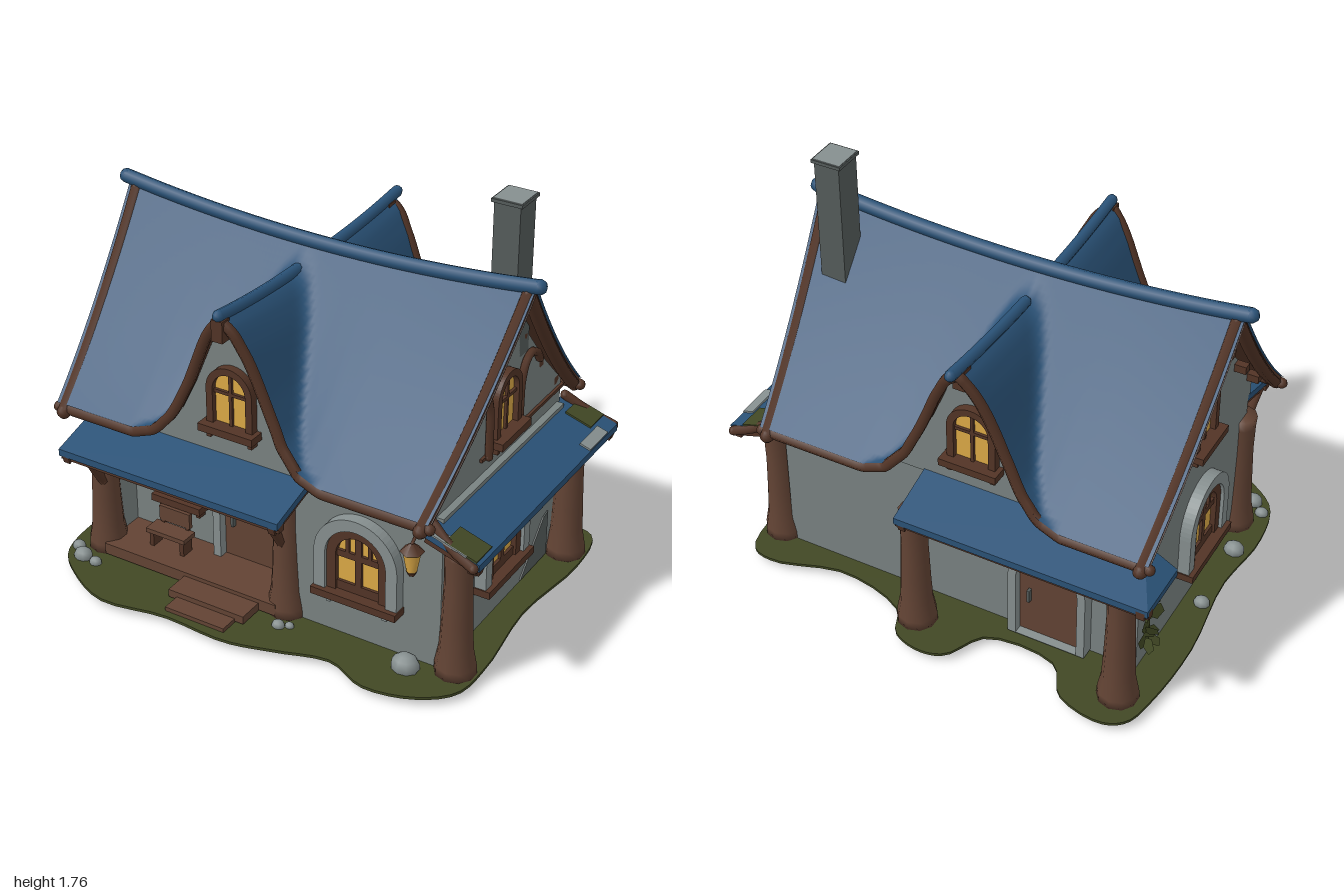
import * as THREE from 'three';

const mat = (name, color, side = THREE.FrontSide) => {
  const m = new THREE.MeshStandardMaterial({ color, side });
  m.name = name;
  return m;
};
const M = {
  roof: mat('blue roof', 0x2a5277, THREE.DoubleSide),
  wall: mat('grey plaster', 0x798281),
  stone: mat('pale stone', 0x868f8f),
  dark: mat('dark stone', 0x555c5b),
  timber: mat('dark timber', 0x523426, THREE.DoubleSide),
  wood: mat('warm wood', 0x624334),
  glass: mat('lit glass', 0xdca946),
  moss: mat('moss', 0x414824, THREE.DoubleSide),
};

const V = (x, y, z) => new THREE.Vector3(x, y, z);
const add = (parent, name, geo, material, x = 0, y = 0, z = 0) => {
  const m = new THREE.Mesh(geo, material);
  m.name = name;
  m.position.set(x, y, z);
  parent.add(m);
  return m;
};
const box = (p, name, w, h, d, material, x, y, z) => add(p, name, new THREE.BoxGeometry(w, h, d), material, x, y, z);
const tube = (p, name, pts, r, material, seg = 24, sides = 6) => {
  const g = new THREE.TubeGeometry(new THREE.CatmullRomCurve3(pts), seg, r, sides);
  const m = add(p, name, g, material);
  for (const e of [pts[0], pts[pts.length - 1]]) // rounded ends
    add(p, name + 'End', new THREE.SphereGeometry(r, 8, 6), material, e.x, e.y, e.z);
  return m;
};
const poly = (pts) => new THREE.Shape(pts.map(([x, y]) => new THREE.Vector2(x, y)));
const extrude = (shape, depth) => new THREE.ExtrudeGeometry(shape, { depth, bevelEnabled: false, curveSegments: 14 });
// Plan outline in x, z raised upwards
const plan = (pts, h) => extrude(poly(pts.map(([x, z]) => [x, -z])), h).rotateX(-Math.PI / 2);

// Roof height: sagging main ridge along x, bell-shaped cross gable along z
const CX = -0.1;
const BELL = [[0, 1], [0.05, 0.92], [0.1, 0.77], [0.18, 0.45], [0.25, 0.21], [0.33, 0.06], [0.43, 0]];
const bell = (x) => {
  const d = Math.abs(x - CX);
  for (let i = 1; i < BELL.length; i++) {
    const [a, p] = BELL[i - 1], [b, q] = BELL[i];
    if (d < b) return p + (q - p) * (d - a) / (b - a);
  }
  return 0;
};
const ridgeY = (x) => 1.43 + 0.065 * (x / 0.95) ** 2;
const crossY = (t) => 1.335 + 0.035 * t * t;
const roofPoint = (s, v) => {
  const t = Math.abs(v), k = 1 - t;
  const x = THREE.MathUtils.lerp(-0.9 - 0.05 * k, 0.8 + 0.09 * k, s);
  const main = 0.76 + (ridgeY(x) - 0.76) * (1 - 1.2 * t + 0.2 * t * t);
  const f = bell(x), cross = 0.76 + (crossY(t) - 0.76) * f;
  const soft = 0.1 * k + 1e-4, blend = Math.max(soft - Math.abs(main - cross), 0) / soft; // soft valley
  const z = v * (v > 0 ? 0.62 : 0.66) * (1 - 0.2 * f * (1 - f) * t);
  return V(x, Math.max(main, cross) + blend * blend * soft / 4, z);
};
function roofSheet(drop) {
  const nx = 100, nz = 64, pos = [], idx = [];
  for (let i = 0; i <= nx; i++) for (let j = 0; j <= nz; j++) {
    const p = roofPoint(i / nx, j / nz * 2 - 1);
    pos.push(p.x, p.y - drop, p.z);
    if (i < nx && j < nz) {
      const a = i * (nz + 1) + j, c = a + nz + 1;
      idx.push(a, a + 1, c, c, a + 1, c + 1);
    }
  }
  const g = new THREE.BufferGeometry();
  g.setAttribute('position', new THREE.Float32BufferAttribute(pos, 3));
  g.setIndex(idx);
  g.computeVertexNormals();
  return g;
}

const arch = (w, h, y0 = 0, Type = THREE.Shape) => {
  const r = w / 2, s = new Type();
  s.moveTo(-r, y0);
  s.lineTo(r, y0);
  s.lineTo(r, h - r);
  s.absarc(0, h - r, r, 0, Math.PI, false);
  s.lineTo(-r, y0);
  return s;
};
const archRing = (w, h, t, depth) => {
  const s = arch(w, h);
  s.holes.push(arch(w - 2 * t, h - t, 0.002, THREE.Path));
  return extrude(s, depth);
};
const place = (parent, name, x, y, z, turn = 0) => {
  const g = new THREE.Group();
  g.name = name;
  g.position.set(x, y, z);
  g.rotation.y = turn;
  parent.add(g);
  return g;
};
// Arched window, its foot at the origin, facing +z
function windowUnit(parent, name, x, y, z, turn, w, h, large) {
  const g = place(parent, name, x, y, z, turn);
  if (large) add(g, 'stoneSurround', archRing(w + 0.09, h + 0.045, 0.05, 0.06), M.stone, 0, 0, -0.01);
  const t = large ? 0.045 : 0.03, bar = large ? 0.028 : 0.014;
  add(g, 'frame', archRing(w, h, t, 0.035), M.timber);
  add(g, 'panes', extrude(arch(w - t, h - t / 2), 0.008), M.glass, 0, 0, 0.004);
  box(g, 'mullion', bar, h - t, 0.02, M.timber, 0, (h - t) / 2, 0.014);
  box(g, 'crossbar', w - t, bar, 0.02, M.timber, 0, h * 0.57, 0.014);
  if (large) {
    box(g, 'bottomRail', w - t, 0.055, 0.02, M.timber, 0, 0.0275, 0.014);
    for (const s of [-1, 1]) box(g, 'upperBar', 0.016, 0.1, 0.02, M.timber, s * 0.05, h * 0.57 + 0.05, 0.014);
  }
  box(g, 'sill', w + (large ? 0.1 : 0.04), 0.032, 0.08, M.timber, 0, 0, 0.03);
  for (const s of [-1, 1]) box(g, 'sillBlock', 0.02, 0.04, 0.04, large ? M.stone : M.timber, s * w * 0.45, -0.03, 0.02);
}
function doorUnit(parent, name, x, y, z, turn) {
  const g = place(parent, name, x, y, z, turn);
  add(g, 'surround', archRing(0.34, 0.47, 0.035, 0.07), M.stone, 0, 0, -0.01);
  add(g, 'doorLeaf', extrude(arch(0.27, 0.435), 0.02), M.wood);
  box(g, 'handle', 0.012, 0.06, 0.02, M.dark, -0.09, 0.2, 0.03);
}
// Lean-to roof running along local x, sloping down towards local +z; hipEnd (-1 or 1) is cut back by hip at the top
function leanTo(parent, name, x, z, turn, len, depth, top, hipEnd = 0, hip = 0) {
  const g = place(parent, name, x, 0, z, turn);
  const slab = extrude(poly([[0, top - 0.03], [depth, 0.61], [depth, 0.64], [0, top]]), len).rotateY(-Math.PI / 2).translate(len / 2, 0, 0);
  const p = slab.attributes.position;
  for (let i = 0; i < p.count; i++)
    if (p.getX(i) * hipEnd > 0 && p.getZ(i) < 0.01) p.setX(i, p.getX(i) - hipEnd * hip);
  slab.computeVertexNormals();
  add(g, 'slope', slab, M.roof);
  box(g, 'eaveBeam', len, 0.035, 0.035, M.timber, 0, 0.608, depth - 0.03);
  for (const s of [-1, 1].filter((e) => e !== hipEnd)) {
    const r = box(g, 'endRafter', 0.03, 0.035, depth, M.timber, s * (len / 2 - 0.03), (top + 0.6) / 2 - 0.025, depth / 2);
    r.rotation.x = Math.atan2(top - 0.64, depth);
  }
  return g;
}

export function createModel() {
  const house = new THREE.Group();
  house.name = 'cottage';

  // Ground and floor
  const edge = [[-0.95, -0.3], [-0.93, -0.62], [-0.89, -0.77], [-0.8, -0.82], [-0.6, -0.77], [-0.5, -0.63], [-0.2, -0.63],
    [-0.1, -0.79], [0, -0.82], [0.13, -0.78], [0.2, -0.66], [0.5, -0.58], [0.8, -0.66], [0.91, -0.63], [0.95, -0.4], [0.91, 0], [0.95, 0.4],
    [0.93, 0.6], [0.8, 0.71], [0.6, 0.75], [0.42, 0.68], [0.2, 0.74], [0, 0.79], [-0.3, 0.78], [-0.58, 0.82], [-0.78, 0.73], [-0.9, 0.62],
    [-0.94, 0.4], [-0.91, 0.1]].map(([x, z]) => V(x, 0, z));
  const rim = new THREE.CatmullRomCurve3(edge, true).getPoints(110).slice(0, -1);
  add(house, 'ground', plan(rim.map((p) => [p.x, p.z]), 0.012), M.moss, 0, 0.03);
  box(house, 'floor', 1.64, 0.008, 1.1, M.wall, 0, 0.028, 0.04);
  box(house, 'backDoorstep', 0.28, 0.045, 0.03, M.stone, -0.43, 0.0225, -0.53);

  // Walls with a recessed front porch
  add(house, 'lowerWalls', plan([[-0.8, -0.5], [0.8, -0.5], [0.8, 0.5], [0.12, 0.5], [0.12, 0.33], [-0.75, 0.33], [-0.75, 0.48], [-0.8, 0.48]], 0.57), M.wall, 0, 0.04);
  box(house, 'upperWalls', 1.6, 0.12, 1, M.wall, 0, 0.66, 0);
  const gable = poly([[-0.52, 0.71], [0.52, 0.71], [0.52, 0.82], [0.36, 0.98], [0.18, 1.19], [0, 1.43], [-0.18, 1.19], [-0.36, 0.98], [-0.52, 0.82]]);
  add(house, 'endGables', extrude(gable, 1.57).rotateY(Math.PI / 2), M.wall, -0.8);
  const half = BELL.map(([d, f]) => [d, 0.73 + 0.6 * f]);
  const bellPts = [...half.slice().reverse().map(([d, y]) => [CX + d, y]), ...half.slice(1).map(([d, y]) => [CX - d, y])];
  add(house, 'crossGables', extrude(poly([...bellPts, [CX - 0.43, 0.7], [CX + 0.43, 0.7]]), 1.04), M.wall, 0, 0, -0.52);
  add(house, 'wallPatch', extrude(poly([[0.17, 0.05], [0.4, 0.05], [0.4, 0.26], [0.36, 0.25]]), 0.006).rotateY(Math.PI / 2), M.dark, 0.8);

  // Main roof, underside, ridges and bargeboards
  add(house, 'roof', roofSheet(0), M.roof);
  add(house, 'roofUnderside', roofSheet(0.025), M.timber);
  const steps = (n, f) => Array.from({ length: n + 1 }, (_, i) => f(i / n));
  tube(house, 'mainRidge', steps(10, (s) => { const x = -0.97 + 1.87 * s; return V(x, ridgeY(x), 0); }), 0.03, M.roof, 40, 8);
  tube(house, 'frontRidge', steps(5, (s) => V(CX, crossY(s), 0.08 + 0.54 * s)), 0.024, M.roof, 20, 8);
  tube(house, 'backRidge', steps(5, (s) => V(CX, crossY(s), -0.12 - 0.57 * s)), 0.024, M.roof, 20, 8);
  for (const v of [-1, 1]) {
    tube(house, 'eaveBoard', steps(60, (s) => roofPoint(s, v).add(V(0, -0.024, -0.012 * v))), 0.023, M.timber, 150);
    for (const s of [0, 1])
      tube(house, 'bargeboard', steps(12, (k) => roofPoint(s, v * k).add(V(s ? -0.032 : 0.032, -0.034, 0))), 0.03, M.timber, 30);
    box(house, 'gablePeg', 0.05, 0.09, 0.05, M.timber, CX, 1.31, v * 0.61);
    for (const [z, y] of [[0.17, 1.16], [0.33, 0.98], [0.48, 0.83]])
      box(house, 'purlin', 1.62, 0.035, 0.035, M.timber, -0.04, y, v * z);
  }
  box(house, 'gableBeam', 0.02, 0.014, 0.7, M.timber, 0.772, 0.79, -0.18);

  // Lean-to roofs
  leanTo(house, 'frontPorchRoof', -0.285, 0.5, 0, 1.03, 0.25, 0.71);
  leanTo(house, 'backPorchRoof', -0.41, -0.5, Math.PI, 1.08, 0.26, 0.715, 1, 0.14);
  leanTo(house, 'backPorchHip', -0.81, -0.63, -Math.PI / 2, 0.26, 0.14, 0.715, -1, 0.259);
  const side = leanTo(house, 'sideRoof', 0.76, 0, Math.PI / 2, 1.18, 0.24, 0.715);
  for (const [x, w, z, d, m] of [[-0.53, 0.12, 0.16, 0.14, M.moss], [0.53, 0.12, 0.12, 0.12, M.moss], [0.42, 0.16, 0.215, 0.05, M.stone], [-0.57, 0.05, 0.11, 0.16, M.stone]])
    box(side, 'roofPatch', w, 0.008, d, m, x, 0.719 - 0.3125 * z, z).rotation.x = 0.303;
  for (const s of [-1, 1])
    tube(house, 'hipBeam', [V(0.78, 0.73, s * 0.55), V(0.88, 0.665, s * 0.58), V(0.98, 0.625, s * 0.6)], 0.02, M.timber, 8);

  // Posts and curved brackets
  const post = [[0, 0.04], [0.085, 0.04], [0.083, 0.08], [0.068, 0.16], [0.062, 0.28], [0.056, 0.45], [0.058, 0.57], [0.062, 0.62], [0, 0.62]];
  for (const [x, z] of [[-0.79, 0.48], [0.1, 0.48], [0.86, 0.48], [0.86, -0.47], [0.1, -0.66], [-0.8, -0.66]])
    add(house, 'post', new THREE.LatheGeometry(post.map(([r, y]) => new THREE.Vector2(r, y)), 10), M.wood, x, 0, z);
  for (const x of [-0.77, 0.1])
    tube(house, 'porchBracket', [V(x, 0.38, 0.52), V(x, 0.46, 0.57), V(x, 0.54, 0.62), V(x, 0.6, 0.71)], 0.02, M.timber, 10);
  for (const s of [-1, 1])
    tube(house, 'gableBrace', [[0.125, 0.79], [0.125, 0.9], [0.13, 1.0], [0.16, 1.07], [0.2, 1.09], [0.25, 1.07], [0.28, 1.03]]
      .map(([z, y]) => V(0.785, y, s * z)), 0.018, M.timber);

  // Windows and doors
  const R = Math.PI / 2;
  windowUnit(house, 'frontWindow', 0.45, 0.25, 0.5, 0, 0.28, 0.32, true);
  windowUnit(house, 'rightWindow', 0.8, 0.24, 0.045, R, 0.28, 0.33, true);
  windowUnit(house, 'leftWindow', -0.8, 0.24, 0.05, -R, 0.28, 0.33, true);
  windowUnit(house, 'porchWindow', -0.5, 0.285, 0.33, 0, 0.2, 0.235, false);
  windowUnit(house, 'frontGableWindow', -0.11, 0.84, 0.52, 0, 0.21, 0.27, false);
  windowUnit(house, 'backGableWindow', -0.1, 0.84, -0.52, Math.PI, 0.21, 0.27, false);
  windowUnit(house, 'rightGableWindow', 0.77, 0.84, 0, R, 0.2, 0.27, false);
  windowUnit(house, 'leftGableWindow', -0.8, 0.84, 0, -R, 0.2, 0.27, false);
  doorUnit(house, 'frontDoor', -0.15, 0.08, 0.33, 0);
  doorUnit(house, 'backDoor', -0.43, 0.05, -0.5, Math.PI);

  // Porch deck, steps and bench
  box(house, 'porchDeck', 0.84, 0.05, 0.24, M.wood, -0.33, 0.075, 0.44);
  box(house, 'upperStep', 0.36, 0.035, 0.12, M.wood, -0.17, 0.065, 0.61);
  box(house, 'lowerStep', 0.28, 0.02, 0.1, M.wood, -0.17, 0.05, 0.7);
  const bench = place(house, 'bench', -0.5, 0.1, 0.44);
  box(bench, 'seat', 0.19, 0.02, 0.08, M.wood, 0, 0.075, 0);
  box(bench, 'backrest', 0.15, 0.07, 0.02, M.wood, 0, 0.13, -0.04);
  for (const s of [-1, 1]) {
    box(bench, 'leg', 0.02, 0.07, 0.06, M.timber, s * 0.075, 0.035, 0);
    box(bench, 'backPost', 0.015, 0.09, 0.015, M.timber, s * 0.06, 0.11, -0.04);
  }

  // Chimney
  box(house, 'chimneyStack', 0.11, 0.65, 0.125, M.dark, 0.715, 1.42, -0.14);
  box(house, 'chimneyCap', 0.13, 0.014, 0.14, M.dark, 0.715, 1.75, -0.14);
  box(house, 'chimneyTop', 0.12, 0.004, 0.13, M.stone, 0.715, 1.758, -0.14);

  // Lantern
  const lamp = place(house, 'lantern', 0.72, 0.5, 0.59);
  add(lamp, 'glow', new THREE.CylinderGeometry(0.036, 0.02, 0.09, 6), M.glass, 0, 0.06, 0);
  add(lamp, 'cap', new THREE.ConeGeometry(0.048, 0.04, 6), M.timber, 0, 0.125, 0);
  add(lamp, 'base', new THREE.CylinderGeometry(0.022, 0.014, 0.018, 6), M.timber, 0, 0.008, 0);
  tube(lamp, 'hook', [V(0, 0.14, 0), V(0, 0.16, -0.03), V(0, 0.16, -0.09)], 0.007, M.timber, 8);

  // Boulders and hanging ivy
  for (const [x, z, r] of [[0.69, 0.57, 0.06], [-0.82, 0.62, 0.042], [-0.88, 0.57, 0.03], [-0.75, 0.63, 0.028], [0.13, 0.6, 0.028], [0.17, 0.58, 0.02],
    [-0.87, 0.3, 0.045], [-0.88, -0.05, 0.035]])
    add(house, 'boulder', new THREE.SphereGeometry(r, 9, 7), M.stone, x, 0.04 + r * 0.3, z).scale.set(1, 0.85, 0.85);
  for (let i = 0; i < 12; i++) {
    const leaf = add(house, 'ivyLeaf', new THREE.CircleGeometry(0.035, 5), M.moss, -0.9 + 0.02 * Math.sin(i * 2.1), 0.32 + i * 0.022, -0.62 + 0.04 * Math.cos(i * 1.7));
    leaf.rotation.set(0.4 * Math.sin(i), i * 1.3, 0);
  }
  return house;
}
